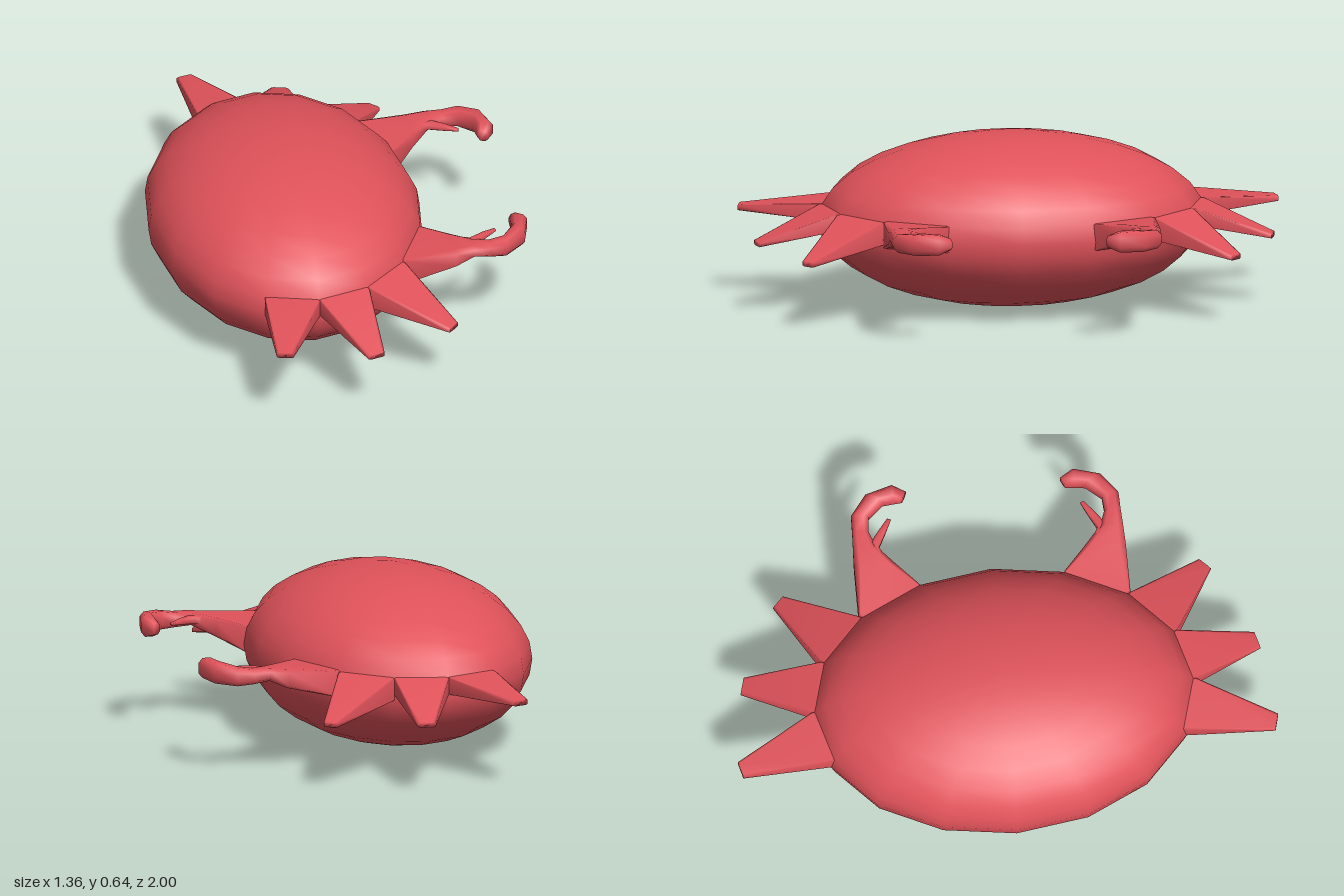
import * as THREE from 'three';

const red = new THREE.MeshStandardMaterial({ color: 0xe0525a });
const CX = -0.17, CY = 0.322;

// Lofted limb. Each section: [x1, z1, x2, z2, yLow, yHigh, chamfer]; side = 1 or -1 mirrors in z.
function limb(name, sections, side) {
  const pos = [], idx = [], N = 8;
  for (const [x1, z1, x2, z2, lo, hi, t = 0.03] of sections) {
    const ring = [[t, 0], [1 - t, 0], [1, t], [1, 1 - t], [1 - t, 1], [t, 1], [0, 1 - t], [0, t]];
    for (const [u, v] of ring) {
      const w = side > 0 ? u : 1 - u; // reversed so the faces stay outward on the mirrored side
      pos.push(x1 + (x2 - x1) * w, lo + (hi - lo) * v, side * (z1 + (z2 - z1) * w));
    }
  }
  const last = (sections.length - 1) * N;
  for (let r = 0; r < last; r += N) {
    for (let i = 0; i < N; i++) {
      const j = (i + 1) % N;
      idx.push(r + i, r + j, r + N + j, r + i, r + N + j, r + N + i);
    }
  }
  for (let i = 1; i < N - 1; i++) idx.push(last, last + i, last + i + 1); // tip cap
  const geo = new THREE.BufferGeometry();
  geo.setAttribute('position', new THREE.Float32BufferAttribute(pos, 3));
  geo.setIndex(idx);
  geo.computeVertexNormals();
  const mesh = new THREE.Mesh(geo, red);
  mesh.name = name;
  return mesh;
}

// Adds a root section sunk into the shell
function rooted(sections) {
  const [x1, z1, x2, z2, lo, hi, t] = sections[0], k = 0.92;
  return [[CX + (x1 - CX) * k, z1 * k, CX + (x2 - CX) * k, z2 * k, lo, hi, t], ...sections];
}

const legs = {
  backLeg: [[-0.368, 0.66, -0.17, 0.712, 0.32, 0.385], [-0.385, 0.985, -0.325, 1.0, 0.33, 0.352, 0.15]],
  middleLeg: [[-0.17, 0.712, 0.025, 0.66, 0.32, 0.385], [-0.035, 0.962, 0.027, 0.945, 0.265, 0.284, 0.15]],
  frontLeg: [[0.025, 0.66, 0.19, 0.503, 0.3, 0.385], [0.295, 0.81, 0.335, 0.77, 0.252, 0.272, 0.15]],
};

// Arm that bends into the large hooked pincer
const arm = [
  [0.19, 0.503, 0.295, 0.27, 0.29, 0.39],
  [0.38, 0.503, 0.38, 0.35, 0.335, 0.406, 0.15],
  [0.45, 0.5, 0.452, 0.415, 0.368, 0.414, 0.22],
  [0.51, 0.497, 0.51, 0.436, 0.36, 0.415, 0.25],
  [0.575, 0.495, 0.565, 0.432, 0.356, 0.425, 0.25],
  [0.65, 0.435, 0.612, 0.375, 0.358, 0.437, 0.25],
  [0.678, 0.335, 0.615, 0.335, 0.362, 0.437, 0.25],
  [0.65, 0.285, 0.615, 0.303, 0.378, 0.42, 0.25],
];

// Small thin pincer finger
const thumb = [
  [0.42, 0.46, 0.415, 0.385, 0.365, 0.408, 0.2],
  [0.465, 0.434, 0.445, 0.404, 0.378, 0.407, 0.2],
  [0.51, 0.4, 0.5, 0.374, 0.385, 0.407, 0.2],
  [0.555, 0.364, 0.55, 0.35, 0.392, 0.402, 0.2],
];

export function createModel() {
  const model = new THREE.Group();
  model.name = 'crab';

  // Wide ellipsoid shell
  const shellGeo = new THREE.SphereGeometry(1, 16, 16);
  shellGeo.scale(0.508, 0.318, 0.715);
  shellGeo.translate(CX, CY, 0);
  const shell = new THREE.Mesh(shellGeo, red);
  shell.name = 'shell';
  model.add(shell);

  // Legs and claws, mirrored in z
  for (const side of [1, -1]) {
    const half = new THREE.Group();
    half.name = side > 0 ? 'nearLimbs' : 'farLimbs';
    for (const [name, sections] of Object.entries(legs)) half.add(limb(name, rooted(sections), side));
    half.add(limb('clawArm', rooted(arm), side), limb('clawThumb', thumb, side));
    model.add(half);
  }
  return model;
}
